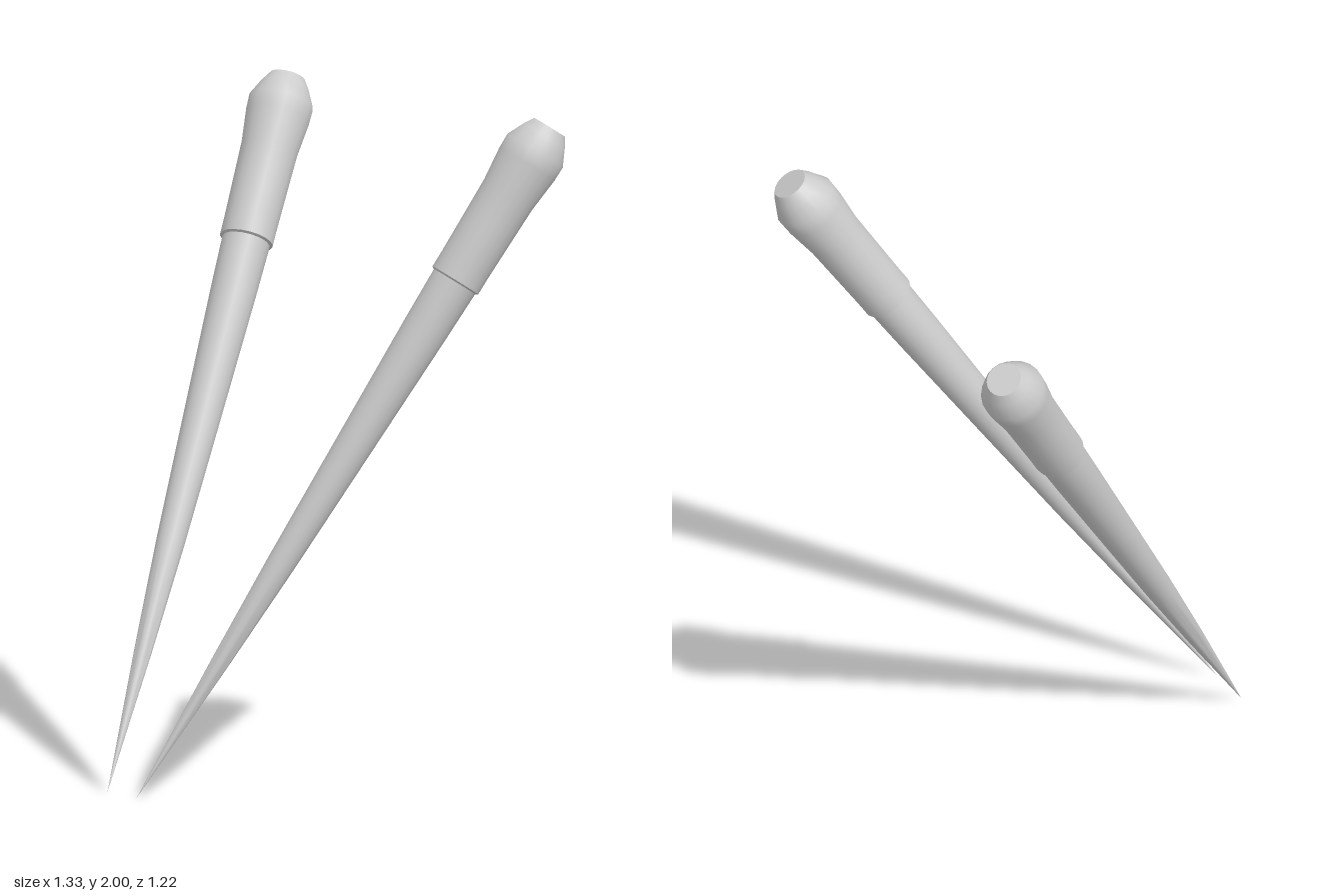
import * as THREE from 'three';
import { toCreasedNormals } from 'three/addons/utils/BufferGeometryUtils.js';

// Profiles as [radius, fraction of the length from tip to butt]
const SHAFT = [[0, 0], [0.027, 0.2], [0.043, 0.35], [0.055, 0.51], [0.069, 0.7], [0.073, 0.775]];
const GRIP = [
  [0.073, 0.77], [0.081, 0.772], [0.081, 0.795], [0.084, 0.86], [0.086, 0.9],
  [0.097, 0.945], [0.098, 0.965], [0.073, 0.987], [0.054, 1], [0, 1],
];

function turned(name, profile, length, material) {
  const points = profile.map(([r, t]) => new THREE.Vector2(r, t * length));
  const mesh = new THREE.Mesh(toCreasedNormals(new THREE.LatheGeometry(points, 20), 0.7), material);
  mesh.name = name;
  return mesh;
}

// One tapered stick running from its pointed tip to its flat butt
function stick(name, tip, butt, material) {
  const axis = new THREE.Vector3().subVectors(butt, tip);
  const length = axis.length();
  const group = new THREE.Group();
  group.name = name;
  group.add(turned('shaft', SHAFT, length, material), turned('grip', GRIP, length, material));
  group.position.copy(tip);
  group.quaternion.setFromUnitVectors(new THREE.Vector3(0, 1, 0), axis.normalize());
  return group;
}

export function createModel() {
  const material = new THREE.MeshStandardMaterial({ color: 0xcccccc });
  const model = new THREE.Group();
  model.name = 'pairOfSticks';
  model.add(
    stick('leftStick', new THREE.Vector3(0.05, 0, 0.61), new THREE.Vector3(0.585, 1.966, -0.565), material),
    stick('rightStick', new THREE.Vector3(-0.08, 0, 0.61), new THREE.Vector3(-0.59, 1.966, -0.565), material),
  );
  return model;
}
